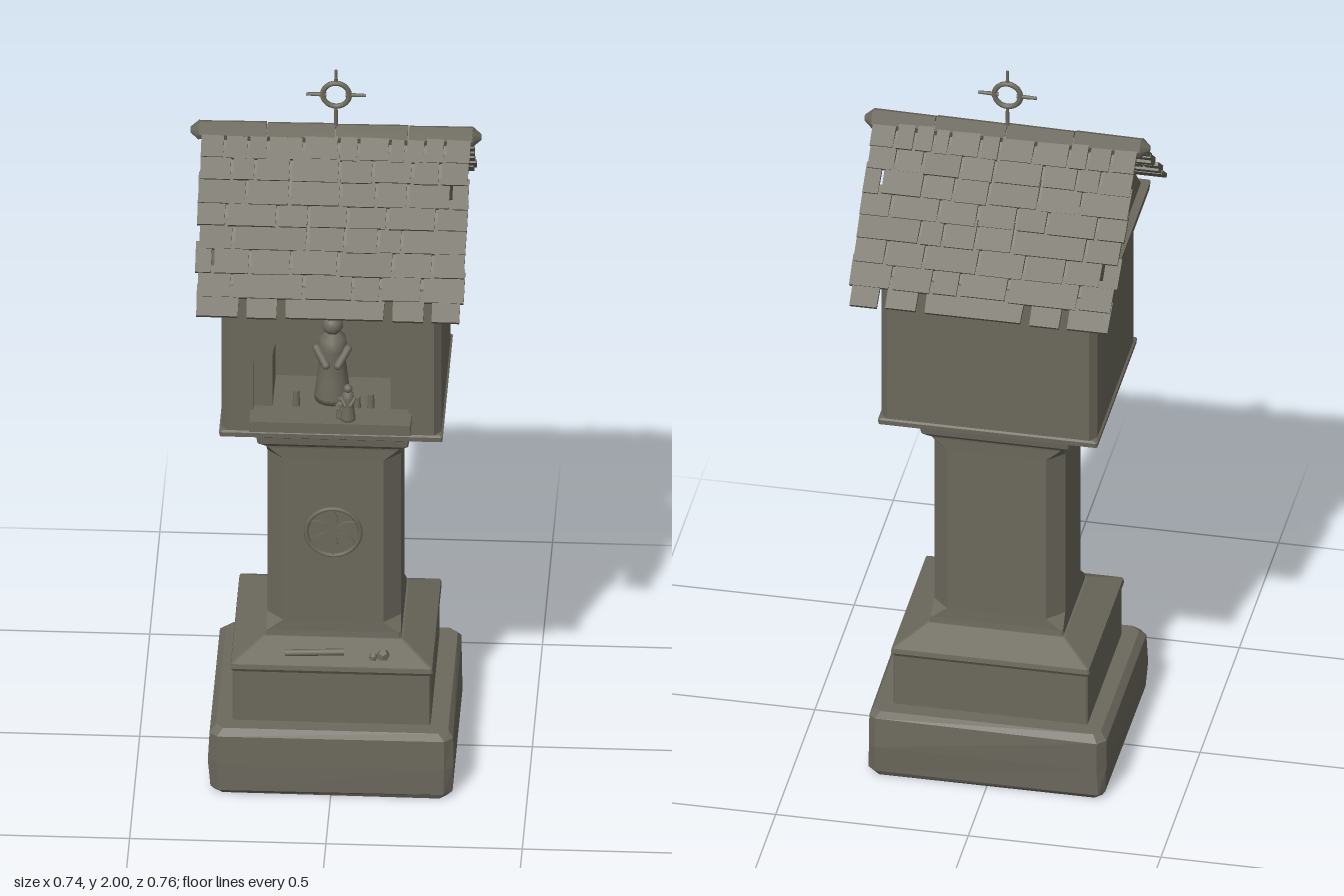
import * as THREE from 'three';

export function createModel() {
  const root = new THREE.Group();
  const stone = new THREE.MeshStandardMaterial({ color: 0x6c695d });
  stone.name = 'weathered stone';
  let seed = 7;
  const rnd = () => (seed = (seed * 16807) % 2147483647) / 2147483647 - 0.5;

  const add = (name, geo, x = 0, y = 0, z = 0, parent = root) => {
    const m = new THREE.Mesh(geo, stone);
    m.name = name;
    m.position.set(x, y, z);
    parent.add(m);
    return m;
  };
  const box = (w, h, d) => new THREE.BoxGeometry(w, h, d);

  // Loft of chamfered rectangles; each ring is [y, halfX, halfZ, chamfer]
  const loft = (rings, jitter = 0) => {
    const pos = [], idx = [], n = rings.length;
    for (const [y, a, b, c] of rings) {
      const ring = [[a, b - c], [a, c - b], [a - c, -b], [c - a, -b],
        [-a, c - b], [-a, b - c], [c - a, b], [a - c, b]];
      for (const [x, z] of ring) pos.push(x + rnd() * jitter, y, z + rnd() * jitter);
    }
    for (let r = 0; r < n - 1; r++) for (let i = 0; i < 8; i++) {
      const p = r * 8 + i, q = r * 8 + (i + 1) % 8;
      idx.push(p, q, q + 8, p, q + 8, p + 8);
    }
    const t = (n - 1) * 8;
    for (let i = 1; i < 7; i++) idx.push(0, i + 1, i, t, t + i, t + i + 1);
    const g = new THREE.BufferGeometry();
    g.setAttribute('position', new THREE.Float32BufferAttribute(pos, 3));
    g.setIndex(idx);
    const flat = g.toNonIndexed();
    flat.computeVertexNormals();
    return flat;
  };

  // Stepped base and shaft
  add('plinth', loft([[0, .298, .263, .02], [.015, .308, .273, .02], [.09, .31, .275, .02],
    [.172, .308, .273, .02], [.19, .295, .26, .02]], .008));
  add('upperBase', loft([[.185, .252, .218, .004], [.335, .252, .218, .004], [.345, .258, .224, .004],
    [.358, .256, .222, .004], [.4, .178, .146, .004]]));
  add('shaft', loft([[.395, .174, .143, .004], [.415, .172, .141, .006], [.445, .17, .14, .042],
    [.925, .17, .14, .042], [.958, .171, .141, .006], [.97, .174, .144, .004]]));
  add('flaredCapital', loft([[.965, .176, .146, .004], [.98, .192, .162, .004], [1.0, .195, .165, .004],
    [1.02, .215, .186, .004], [1.055, .284, .254, .004], [1.068, .285, .255, .004], [1.072, .28, .25, .004]]));

  // Shrine chamber, in slices from back to front, with an arched niche
  const slice = (name, z, depth, r, backX = .28, frontX = .28) => {
    const s = new THREE.Shape();
    s.moveTo(-.28, 1.07).lineTo(.28, 1.07).lineTo(.28, 1.485).lineTo(-.28, 1.485).closePath();
    if (r) {
      const h = new THREE.Path();
      h.moveTo(-r, 1.13).lineTo(-r, 1.275);
      h.absarc(0, 1.275, r, Math.PI, 0, true);
      h.lineTo(r, 1.13).closePath();
      s.holes.push(h);
    }
    const g = new THREE.ExtrudeGeometry(s, { depth, bevelEnabled: false, curveSegments: 20 });
    const p = g.attributes.position;
    for (let i = 0; i < p.count; i++) {
      const x = p.getX(i);
      if (Math.abs(x) > .27) p.setX(i, Math.sign(x) * (p.getZ(i) > depth / 2 ? frontX : backX));
    }
    g.computeVertexNormals();
    add(name, g, 0, 0, z);
  };
  slice('chamberBack', -.25, .02, 0, .262, .28);
  slice('chamberCore', -.23, .3, 0);
  slice('nicheWall', .07, .16, .15);
  slice('nicheSurround', .23, .02, .198, .28, .262);
  add('nicheSill', box(.41, .03, .08), 0, 1.12, .27);

  // Cornice and gables
  add('cornice', loft([[1.475, .28, .25, .004], [1.5, .31, .292, .004], [1.523, .312, .296, .004]]));
  const tri = new THREE.Shape();
  tri.moveTo(-.285, 1.515).lineTo(.285, 1.515).lineTo(0, 1.805).closePath();
  const gable = add('gable', new THREE.ExtrudeGeometry(tri, { depth: .58, bevelEnabled: false }), -.29);
  gable.rotation.y = Math.PI / 2;

  // Roof tiles: seams per course from ridge to eave, same on both slopes
  const courses = [
    [-.345, -.28, -.22, -.17, -.08, .01, .06, .14, .18, .23, .28, .348],
    [-.345, -.26, -.2, -.11, .015, .1, .2, .27, .345],
    [-.348, -.22, -.11, .02, .11, .19, .3, .348],
    [-.348, -.27, -.14, -.06, .04, .14, .265, .348],
    [-.34, -.25, -.06, .035, .12, .18, .347],
    [-.348, -.3, -.205, -.1, .02, .16, .26, .345],
    [-.34, -.25, -.065, .06, .13, .235, .347],
    [-.348, -.22, -.122, .152, .252, .344],
  ];
  const edges = [.07, .112, .158, .2, .246, .292, .338, .377];
  for (const side of [1, -1]) {
    const slope = new THREE.Group();
    slope.name = side > 0 ? 'frontRoof' : 'backRoof';
    slope.rotation.y = side > 0 ? 0 : Math.PI;
    root.add(slope);
    courses.forEach((cuts, row) => {
      const z = edges[row], y = 1.838 - z * .935;
      const gap = row === 7 ? .02 : .007;
      for (let i = 0; i < cuts.length - 1; i++) {
        const w = cuts[i + 1] - cuts[i] - gap, len = .083;
        const g = box(w, .011, len).translate(0, 0, -len / 2);
        const p = g.attributes.position;
        for (let v = 0; v < p.count; v++) // slightly ragged tile ends
          if (p.getZ(v) > -.01) p.setX(v, p.getX(v) * .975);
        const t = add('roofTile', g, side * (cuts[i] + cuts[i + 1]) / 2, y + rnd() * .004, z + rnd() * .005, slope);
        t.rotation.x = .67 + rnd() * .03;
      }
    });
  }

  // Ridge caps with pointed outer ends
  const ridge = [-.35, -.175, 0, .185, .35];
  for (let i = 0; i < 4; i++) {
    const w = ridge[i + 1] - ridge[i] - .003;
    const cap = add('ridgeCap', new THREE.CylinderGeometry(.025, .027, w, 8).toNonIndexed(), (ridge[i] + ridge[i + 1]) / 2, 1.812, 0);
    cap.geometry.computeVertexNormals();
    cap.rotation.z = Math.PI / 2;
  }
  for (const s of [1, -1]) {
    const tip = add('ridgeEnd', new THREE.CylinderGeometry(.008, .027, .022, 8), s * .359, 1.812, 0);
    tip.rotation.z = -s * Math.PI / 2;
  }

  // Iron finial: rod, ring and side arms
  const rod = (len, r) => new THREE.CylinderGeometry(r * .7, r, len, 8);
  add('finialRod', rod(.09, .006), 0, 1.85, 0);
  add('finialRing', new THREE.TorusGeometry(.034, .007, 8, 24), 0, 1.927, 0);
  add('finialTip', rod(.042, .005), 0, 1.979, 0);
  for (const s of [1, -1]) {
    const arm = add('finialArm', rod(.052, .006), s * .05, 1.927, 0);
    arm.rotation.z = -s * Math.PI / 2;
  }

  // Niche figures and candles
  const figure = (name, x, y, z, k) => {
    const f = new THREE.Group();
    f.name = name;
    f.position.set(x, y, z);
    f.scale.setScalar(k);
    root.add(f);
    const pts = [[0, 0], [.046, 0], [.046, .015], [.04, .06], [.034, .11], [.038, .15], [.034, .18], [.014, .197], [0, .2]];
    add('robe', new THREE.LatheGeometry(pts.map(p => new THREE.Vector2(...p)), 16), 0, 0, 0, f);
    add('head', new THREE.SphereGeometry(.027, 14, 10), 0, .218, .002, f);
    for (const s of [1, -1]) {
      const arm = add('arm', new THREE.CapsuleGeometry(.011, .05, 4, 8), s * .027, .135, .026, f);
      arm.rotation.set(-.5, 0, -s * .5);
    }
  };
  figure('standingFigure', 0, 1.13, .17, 1);
  figure('smallFigure', .045, 1.134, .282, .42);
  figure('kneelingFigure', .025, 1.134, .275, .25);
  for (const [x, h] of [[-.09, .045], [.1, .04], [.065, .03]])
    add('candle', new THREE.CylinderGeometry(.008, .01, h, 10), x, 1.13 + h / 2, .215);

  // Six-petal rosette on the shaft
  add('rosetteRing', new THREE.TorusGeometry(.069, .006, 6, 32), 0, .71, .141);
  const petal = new THREE.Shape();
  petal.moveTo(0, 0).quadraticCurveTo(.024, .034, 0, .066).quadraticCurveTo(-.024, .034, 0, 0);
  const petalGeo = new THREE.ExtrudeGeometry(petal, { depth: .008, bevelEnabled: false });
  for (let i = 0; i < 6; i++) add('rosettePetal', petalGeo, 0, .71, .138).rotation.z = i * Math.PI / 3;

  // Loose fragments resting on the base ledge
  const stick = add('ledgeStick', new THREE.CylinderGeometry(.009, .009, .15, 8), -.045, .383, .195);
  stick.rotation.set(0, .08, Math.PI / 2);
  add('ledgeStone', new THREE.DodecahedronGeometry(.017), .13, .38, .195);
  add('ledgePebble', new THREE.DodecahedronGeometry(.012), .105, .377, .2);

  return root;
}
